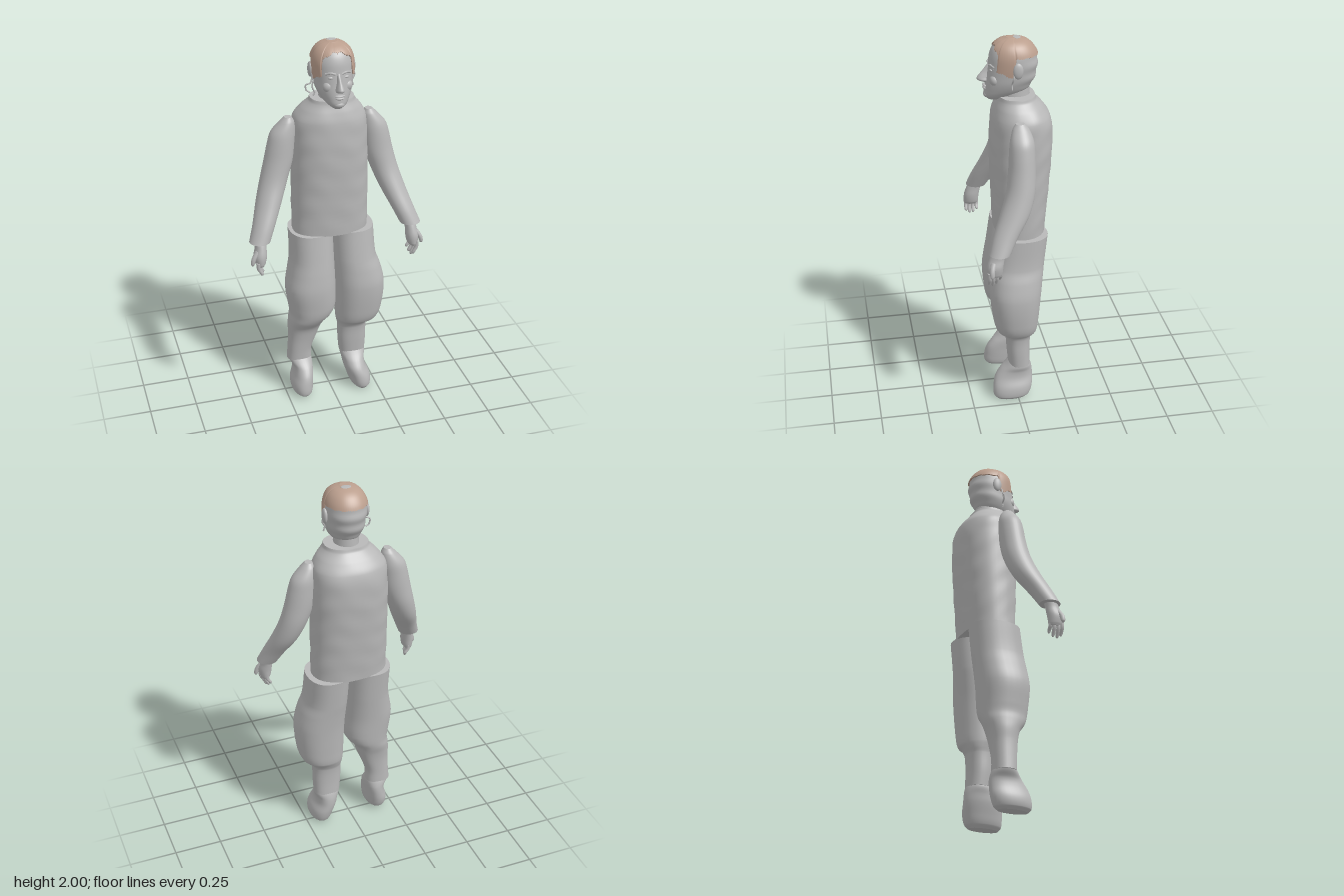
import * as THREE from 'three';

const grey = new THREE.MeshStandardMaterial({ color: 0xb8b8b8, side: THREE.DoubleSide });
grey.name = 'grey';
const brown = new THREE.MeshStandardMaterial({ color: 0xbb9f8e, side: THREE.DoubleSide });
brown.name = 'hairBrown';

// Smooth cross-section [xMin, xMax, zMin, zMax] at height y, from rows [y, xMin, xMax, zMin, zMax]
function sectionAt(rows, y) {
  let i = 0;
  while (i < rows.length - 2 && y > rows[i + 1][0]) i++;
  const a = rows[Math.max(i - 1, 0)], b = rows[i], c = rows[i + 1], d = rows[Math.min(i + 2, rows.length - 1)];
  const h = c[0] - b[0];
  const t = THREE.MathUtils.clamp((y - b[0]) / h, 0, 1);
  return [1, 2, 3, 4].map((k) => {
    const m0 = ((c[k] - a[k]) / (c[0] - a[0])) * h;
    const m1 = ((d[k] - b[k]) / (d[0] - b[0])) * h;
    return (2 * t ** 3 - 3 * t * t + 1) * b[k] + (t ** 3 - 2 * t * t + t) * m0
      + (3 * t * t - 2 * t ** 3) * c[k] + (t ** 3 - t * t) * m1;
  });
}

// Point on a rounded section; angle PI/2 faces the front
function ringPoint(rows, y, angle, n = 2, off = 0) {
  const [x0, x1, z0, z1] = sectionAt(rows, y);
  const round = (v) => Math.sign(v) * Math.abs(v) ** (2 / n);
  return [
    (x0 + x1) / 2 + (Math.max(x1 - x0, 0) / 2 + off) * round(Math.cos(angle)), y,
    (z0 + z1) / 2 + (Math.max(z1 - z0, 0) / 2 + off) * round(Math.sin(angle)),
  ];
}

// Grid of rings, bottom to top, with optional flat caps
function ringsGeometry(count, seg, point, caps = true) {
  const pos = [], index = [];
  for (let i = 0; i < count; i++)
    for (let j = 0; j < seg; j++) pos.push(...point(i, (j / seg) * Math.PI * 2));
  for (let i = 0; i < count - 1; i++)
    for (let j = 0; j < seg; j++) {
      const a = i * seg + j, b = i * seg + ((j + 1) % seg);
      index.push(a, a + seg, b, b, a + seg, b + seg);
    }
  if (caps) for (const [row, top] of [[0, false], [count - 1, true]]) {
    const start = pos.length / 3, mid = [0, 0, 0];
    for (let j = 0; j < seg; j++) {
      const p = pos.slice((row * seg + j) * 3, (row * seg + j) * 3 + 3);
      p.forEach((v, k) => { mid[k] += v / seg; });
      pos.push(...p);
    }
    pos.push(...mid);
    for (let j = 0; j < seg; j++) {
      const a = start + j, b = start + ((j + 1) % seg);
      index.push(start + seg, top ? b : a, top ? a : b);
    }
  }
  const g = new THREE.BufferGeometry();
  g.setAttribute('position', new THREE.Float32BufferAttribute(pos, 3));
  g.setIndex(index);
  g.computeVertexNormals();
  return g;
}

function loft(name, rows, { n = 2, seg = 32, steps = 5, ripple = null } = {}) {
  const ys = [];
  for (let i = 0; i < rows.length - 1; i++)
    for (let k = 0; k < steps; k++) ys.push(THREE.MathUtils.lerp(rows[i][0], rows[i + 1][0], k / steps));
  ys.push(rows[rows.length - 1][0]);
  const g = ringsGeometry(ys.length, seg, (i, a) => ringPoint(rows, ys[i], a, n, ripple ? ripple(ys[i], a) : 0));
  const mesh = new THREE.Mesh(g, grey);
  mesh.name = name;
  return mesh;
}

const mirrorRows = (rows, side) => (side > 0 ? rows : rows.map(([y, a, b, c, d]) => [y, -b, -a, c, d]));

function ellipsoid(name, x, y, z, rx, ry, rz) {
  const mesh = new THREE.Mesh(new THREE.SphereGeometry(1, 20, 14), grey);
  mesh.name = name;
  mesh.position.set(x, y, z);
  mesh.scale.set(rx, ry, rz);
  return mesh;
}

function tube(name, points, r) {
  const curve = new THREE.CatmullRomCurve3(points.map((p) => new THREE.Vector3(...p)));
  const mesh = new THREE.Mesh(new THREE.TubeGeometry(curve, 16, r, 7), grey);
  mesh.name = name;
  return mesh;
}

const HEAD = [
  [1.69, -0.01, 0.04, 0.05, 0.125], [1.71, -0.035, 0.065, 0, 0.143], [1.74, -0.058, 0.088, -0.07, 0.143],
  [1.78, -0.075, 0.105, -0.1, 0.137], [1.82, -0.08, 0.112, -0.113, 0.13], [1.87, -0.085, 0.117, -0.12, 0.122],
  [1.92, -0.083, 0.114, -0.115, 0.114], [1.96, -0.064, 0.096, -0.09, 0.095], [1.983, -0.035, 0.067, -0.058, 0.063],
  [1.993, 0.0, 0.032, -0.02, 0.025],
];

function buildHead() {
  const head = new THREE.Group();
  head.name = 'head';
  // Skull with soft waves on the back
  head.add(loft('skull', HEAD, {
    n: 2.15, seg: 48,
    ripple: (y, a) => Math.max(0, -Math.sin(a)) * (y < 1.93 ? 0.003 * Math.sin(y * 95) : 0),
  }));
  head.add(loft('neck', [[1.6, -0.06, 0.095, -0.09, 0.06], [1.7, -0.048, 0.08, -0.085, 0.06], [1.77, -0.045, 0.075, -0.08, 0.06]]));
  // Face
  head.add(loft('nose', [
    [1.778, 0.0, 0.03, 0.11, 0.145], [1.79, -0.006, 0.038, 0.11, 0.174], [1.803, -0.003, 0.034, 0.11, 0.178],
    [1.835, 0.005, 0.026, 0.1, 0.153], [1.87, 0.006, 0.024, 0.1, 0.125],
  ], { seg: 16 }));
  for (const s of [-1, 1]) {
    const cx = 0.016;
    head.add(ellipsoid('eye', cx + s * 0.037, 1.849, 0.112, 0.016, 0.008, 0.01));
    head.add(tube('brow', [[cx + s * 0.016, 1.867, 0.119], [cx + s * 0.038, 1.873, 0.115], [cx + s * 0.062, 1.866, 0.1]], 0.006));
    head.add(ellipsoid('cheek', cx + s * 0.045, 1.8, 0.098, 0.03, 0.03, 0.025));
    head.add(ellipsoid('ear', cx + s * 0.108, 1.86, -0.008, 0.013, 0.04, 0.025));
  }
  head.add(ellipsoid('upperLip', 0.016, 1.762, 0.139, 0.026, 0.006, 0.012));
  head.add(ellipsoid('lowerLip', 0.016, 1.749, 0.139, 0.022, 0.007, 0.012));
  head.add(ellipsoid('chin', 0.016, 1.715, 0.128, 0.028, 0.018, 0.02));

  // Hair cap with ragged fringe and sideburns
  const hairline = (a) => {
    const s = Math.sin(a), jag = 0.007 * Math.sin(a * 37) * Math.sin(a * 23);
    if (s > 0.68) return 1.93 + (s - 0.68) * 0.12 + jag;
    if (s > 0.02) return 1.82 + 0.05 * s + jag;
    return 1.918 + jag * 0.5;
  };
  const hair = new THREE.Mesh(ringsGeometry(16, 144, (i, a) => {
    const s = i / 15, y = THREE.MathUtils.lerp(hairline(a), 1.993, 1 - (1 - s) ** 2);
    const p = ringPoint(HEAD, y, a, 2.15, 0.007);
    p[1] += 0.006 * s;
    return p;
  }), brown);
  hair.name = 'hair';
  head.add(hair);
  head.add(ellipsoid('crownPatch', 0.018, 1.998, -0.018, 0.026, 0.002, 0.02));

  // Loose curls beside the face
  head.add(tube('curl', [[-0.088, 1.84, 0.02], [-0.1, 1.8, 0.025], [-0.122, 1.79, 0.02], [-0.118, 1.76, 0.02], [-0.1, 1.75, 0.02]], 0.004));
  head.add(tube('curl', [[-0.085, 1.82, 0.03], [-0.092, 1.78, 0.03], [-0.08, 1.75, 0.03], [-0.088, 1.735, 0.03]], 0.004));
  head.add(tube('curl', [[0.12, 1.85, 0.01], [0.128, 1.82, 0.015], [0.114, 1.79, 0.02], [0.12, 1.765, 0.02]], 0.004));
  return head;
}

function buildArm(side) {
  const arm = new THREE.Group();
  arm.name = side > 0 ? 'leftArm' : 'rightArm';
  arm.add(loft('sleeve', mirrorRows([
    [1.025, 0.345, 0.452, 0.078, 0.185], [1.1, 0.31, 0.425, 0.035, 0.16], [1.2, 0.262, 0.393, -0.03, 0.118],
    [1.3, 0.222, 0.363, -0.062, 0.082], [1.4, 0.19, 0.337, -0.07, 0.066], [1.5, 0.178, 0.314, -0.069, 0.058],
    [1.55, 0.174, 0.296, -0.064, 0.051], [1.6, 0.178, 0.252, -0.045, 0.036], [1.625, 0.19, 0.228, -0.025, 0.02],
  ], side)));
  // Hand
  arm.add(loft('palm', mirrorRows([
    [0.905, 0.388, 0.425, 0.125, 0.192], [0.92, 0.378, 0.432, 0.12, 0.197], [0.96, 0.37, 0.438, 0.115, 0.197],
    [1.0, 0.37, 0.428, 0.108, 0.185], [1.04, 0.368, 0.428, 0.1, 0.168],
  ], side), { seg: 20 }));
  [[0.13, 0.876], [0.149, 0.858], [0.168, 0.852], [0.186, 0.862]].forEach(([z, tip], k) => {
    const x = 0.388 + k * 0.006, mid = (tip + 0.93) / 2;
    arm.add(loft('finger', mirrorRows([
      [tip - 0.004, x - 0.007, x + 0.003, z - 0.004, z + 0.004], [tip + 0.006, x - 0.01, x + 0.008, z - 0.009, z + 0.009],
      [mid, x + 0.003, x + 0.024, z - 0.01, z + 0.01], [0.93, x + 0.002, x + 0.026, z - 0.011, z + 0.011],
    ], side), { seg: 10, steps: 3 }));
  });
  arm.add(loft('thumb', mirrorRows([
    [0.915, 0.442, 0.453, 0.172, 0.182], [0.925, 0.438, 0.458, 0.166, 0.188], [0.955, 0.426, 0.452, 0.162, 0.188],
    [0.99, 0.4, 0.43, 0.15, 0.18],
  ], side), { seg: 12, steps: 3 }));
  return arm;
}

export function createModel() {
  const model = new THREE.Group();
  model.name = 'figure';
  model.add(buildHead());

  // Tunic with raised collar and faint creases
  model.add(loft('tunic', [
    [0.978, -0.187, 0.21, -0.158, 0.102], [1.2, -0.187, 0.21, -0.178, 0.112], [1.4, -0.185, 0.209, -0.193, 0.118],
    [1.52, -0.18, 0.206, -0.195, 0.115], [1.6, -0.172, 0.198, -0.183, 0.107], [1.65, -0.138, 0.172, -0.15, 0.095],
    [1.69, -0.1, 0.138, -0.115, 0.08], [1.71, -0.092, 0.13, -0.108, 0.075],
  ], { n: 2.3, seg: 56, steps: 8, ripple: (y, a) => 0.0015 * Math.sin(y * 45 + 3 * Math.sin(a * 2)) * Math.sin(a * 3 + y * 9) }));

  for (const side of [-1, 1]) model.add(buildArm(side));

  // Baggy trousers gathered below the knee, the two legs differing
  model.add(loft('rightTrouserLeg', [
    [0.2, -0.233, -0.1, -0.07, 0.045], [0.27, -0.228, -0.098, -0.07, 0.05], [0.35, -0.224, -0.07, -0.075, 0.06],
    [0.41, -0.226, -0.048, -0.085, 0.075], [0.46, -0.222, -0.03, -0.1, 0.11], [0.5, -0.218, 0.005, -0.108, 0.128],
    [0.55, -0.225, 0.025, -0.113, 0.137], [0.66, -0.238, 0.026, -0.122, 0.145], [0.75, -0.222, 0.024, -0.132, 0.137],
    [0.83, -0.208, 0.022, -0.142, 0.125], [0.982, -0.208, 0.02, -0.16, 0.103],
  ], { n: 2.3 }));
  model.add(loft('leftTrouserLeg', [
    [0.2, 0.063, 0.205, -0.07, 0.045], [0.28, 0.055, 0.208, -0.068, 0.052], [0.37, 0.052, 0.21, -0.073, 0.06],
    [0.4, 0.046, 0.222, -0.085, 0.075], [0.43, 0.04, 0.262, -0.1, 0.108], [0.5, 0.036, 0.285, -0.108, 0.128],
    [0.65, 0.03, 0.295, -0.121, 0.145], [0.75, 0.025, 0.274, -0.132, 0.137], [0.82, 0.022, 0.25, -0.141, 0.127],
    [0.982, 0.018, 0.24, -0.16, 0.103],
  ], { n: 2.3 }));

  // Soft boots
  model.add(loft('rightBoot', [
    [0.008, -0.2, -0.125, -0.045, 0.115], [0.025, -0.218, -0.112, -0.065, 0.13], [0.07, -0.222, -0.106, -0.08, 0.13],
    [0.12, -0.208, -0.103, -0.084, 0.117], [0.16, -0.206, -0.1, -0.082, 0.09], [0.19, -0.222, -0.1, -0.075, 0.062],
    [0.215, -0.23, -0.105, -0.065, 0.042],
  ], { n: 2.2 }));
  model.add(loft('leftBoot', [
    [0, 0.13, 0.205, -0.045, 0.115], [0.02, 0.112, 0.22, -0.065, 0.13], [0.07, 0.095, 0.218, -0.08, 0.13],
    [0.12, 0.08, 0.197, -0.084, 0.117], [0.16, 0.073, 0.194, -0.082, 0.09], [0.19, 0.066, 0.202, -0.075, 0.062],
    [0.215, 0.068, 0.2, -0.065, 0.042],
  ], { n: 2.2 }));
  return model;
}
